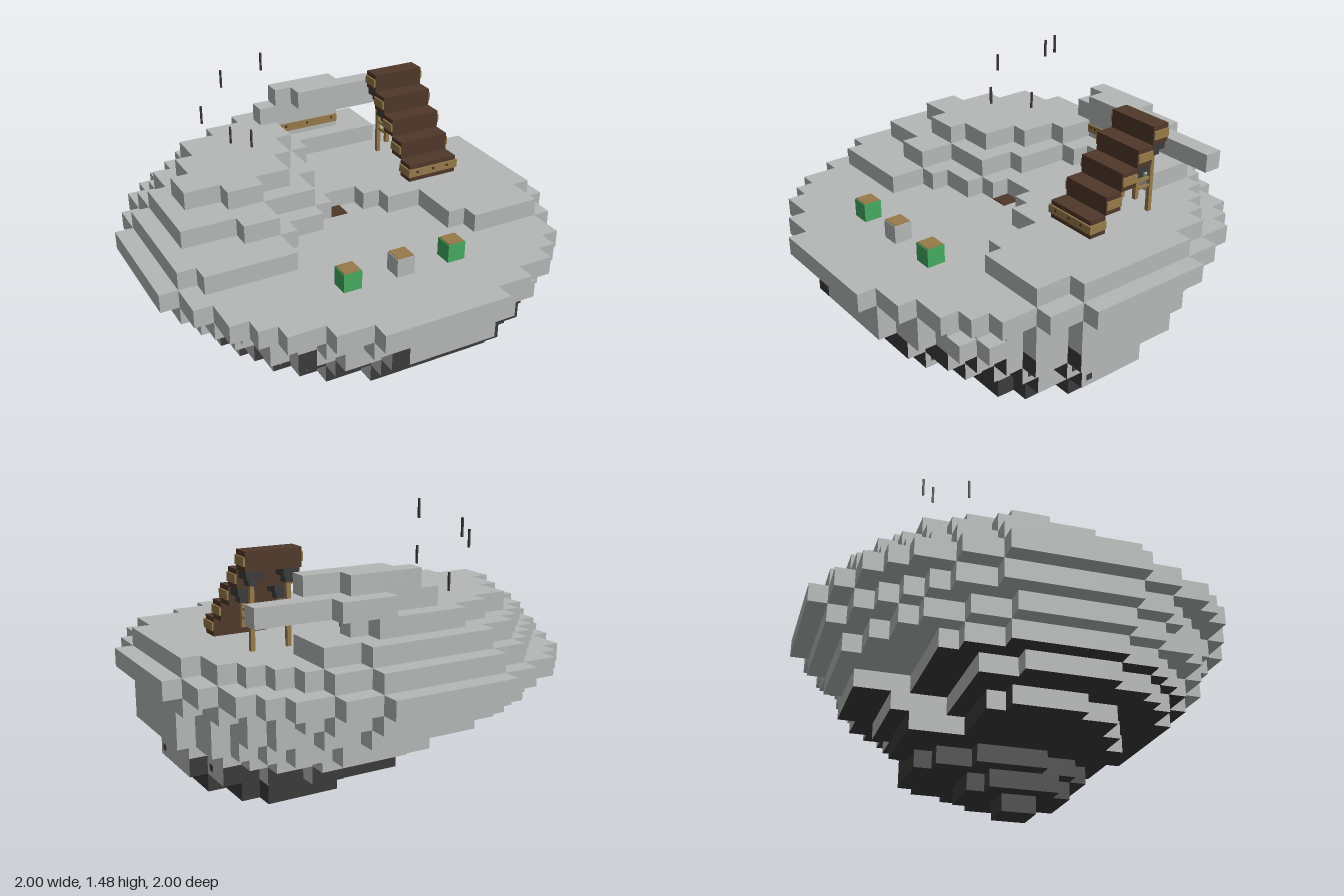
import * as THREE from 'three';

const S = 2 / 23; // edge of one block

const mat = (name, color) => {
  const m = new THREE.MeshStandardMaterial({ color });
  m.name = name;
  return m;
};

export function createModel() {
  const root = new THREE.Group();
  root.name = 'floatingIsland';
  const stone = mat('stone', 0xb5b8b7);
  const darkStone = mat('darkStone', 0x3b3b3b);
  const brown = mat('darkWood', 0x50382a);
  const tan = mat('lightWood', 0x977a4a);
  const green = mat('green', 0x45ab60);

  const box = (parent, name, m, x0, x1, y0, y1, z0, z1) => {
    const mesh = new THREE.Mesh(new THREE.BoxGeometry(x1 - x0, y1 - y0, z1 - z0), m);
    mesh.position.set((x0 + x1) / 2, (y0 + y1) / 2, (z0 + z1) / 2);
    mesh.name = name;
    parent.add(mesh);
  };
  const group = (name) => {
    const g = new THREE.Group();
    g.name = name;
    root.add(g);
    return g;
  };

  // ---- Island: one filled oval of blocks per layer (x0, x1, z0, z1 in blocks)
  const ovals = [
    [3, 4, 1, 2], [2, 6, -1, 4], [1, 8, -4, 5], [-5, 9, -5, 6], [-7, 9, -6, 8],
    [-8, 10, -8, 9], [-9, 10, -9, 10], [-10, 10, -10, 10], [-11, 11, -11, 11],
    [-10, 10, -10, 10], [-9, 9, -9, 9], [-8, 8, -8, 8],
  ];
  // Back limit of the lower layers on the -x side, where the underside is shallower
  const shallow = { 3: -2, 4: -3, 5: -5 };
  // Front limit of the raised terraces: [last column, furthest row] pairs
  const terraces = {
    9: [[-5, 4], [-4, 2], [-2, 1], [-1, 0], [1, -1], [2, 0], [4, 1], [5, 4], [11, 5]],
    10: [[-7, 1], [-5, 2], [-2, 0], [-1, -2], [0, -5], [5, -6]],
    11: [[-7, -1], [-5, 0], [-3, -1], [-2, -3], [-1, -5], [3, -7]],
  };
  const solid = new Set();
  const key = (x, y, z) => `${x},${y},${z}`;
  ovals.forEach(([x0, x1, z0, z1], y) => {
    for (let x = x0; x <= x1; x++) for (let z = z0; z <= z1; z++) {
      const u = (2 * x - x0 - x1) / (x1 - x0 + 1), v = (2 * z - z0 - z1) / (z1 - z0 + 1);
      if (u * u + v * v > 1) continue;
      if (x < 0 && z < shallow[y]) continue;
      if (terraces[y]) {
        const step = terraces[y].find(([last]) => x <= last);
        if (!step || z > step[1]) continue;
      }
      solid.add(key(x, y, z));
    }
  });
  // Overhanging ledge at the back: first column, last column, layer, row
  for (const [x0, x1, y, z] of [[-1, 8, 12, -7], [2, 4, 12, -8], [0, 3, 13, -7], [1, 5, 13, -6]]) {
    for (let x = x0; x <= x1; x++) solid.add(key(x, y, z));
  }

  // Only the exposed block faces are built: normal, then two edge directions
  const sides = [
    [[1, 0, 0], [0, 1, 0], [0, 0, 1]], [[-1, 0, 0], [0, 0, 1], [0, 1, 0]],
    [[0, 1, 0], [0, 0, 1], [1, 0, 0]], [[0, -1, 0], [1, 0, 0], [0, 0, 1]],
    [[0, 0, 1], [1, 0, 0], [0, 1, 0]], [[0, 0, -1], [0, 1, 0], [1, 0, 0]],
  ];
  const faces = { light: [], dark: [] };
  for (const k of solid) {
    const [x, y, z] = k.split(',').map(Number);
    for (const [n, a, b] of sides) {
      if (solid.has(key(x + n[0], y + n[1], z + n[2]))) continue;
      const patch = y === 6 && n[2] === 1 && (x === -6 || x === -2);
      const isDark = y <= 2 || (y === 3 && n[2] === -1) || (y <= 5 && (n[2] === 1 || n[1] === -1)) || patch;
      const c = [x, y + 0.5, z];
      const corner = (s, t) => c.map((v, i) => (v + (n[i] + s * a[i] + t * b[i]) / 2) * S);
      const [p, q, r, w] = [corner(-1, -1), corner(1, -1), corner(1, 1), corner(-1, 1)];
      faces[isDark ? 'dark' : 'light'].push(...p, ...q, ...r, ...p, ...r, ...w);
    }
  }
  const island = group('island');
  for (const [name, m, list] of [['paleRock', stone, faces.light], ['darkUnderside', darkStone, faces.dark]]) {
    const g = new THREE.BufferGeometry();
    g.setAttribute('position', new THREE.Float32BufferAttribute(list, 3));
    g.computeVertexNormals();
    const mesh = new THREE.Mesh(g, m);
    mesh.name = name;
    island.add(mesh);
  }
  // Small dark spots on the outer side: layer, row
  for (const [y, z] of [[4, 8], [4, 5], [4, 3], [4, 1], [4, -2], [4, -6], [3, 2], [3, -2]]) {
    let x = 11;
    while (x > -11 && !solid.has(key(x, y, z))) x--;
    const px = (x + 0.5) * S, py = (y + 0.5) * S;
    box(island, 'darkSpot', darkStone, px - 0.002, px + 0.002, py - 0.015, py + 0.015, z * S - 0.015, z * S + 0.015);
  }

  // ---- Three crates on the front terrace
  const floor = 9 * S;
  [[-3, green], [0, stone], [3, green]].forEach(([c, m]) => {
    const g = group('crate');
    const x = c * S, z = 7 * S, h = S / 2;
    box(g, 'crateBody', m, x - h, x + h, floor, floor + S, z - h, z + h);
    box(g, 'crateLid', tan, x - h + 0.004, x + h - 0.004, floor + S, floor + S + 0.004, z - h + 0.004, z + h - 0.004);
  });

  // Floor plate in the notch
  box(root, 'floorPlate', brown, -S / 2, S / 2, floor, floor + 0.005, -S / 2, S / 2);

  // ---- Staircase: five brown steps with a light band round each
  const stairs = group('staircase');
  for (let i = 0; i < 5; i++) {
    const y = (10 + i) * S, z = -i * S, h = S / 2;
    box(stairs, 'step', brown, 0.39, 0.652, y, y + S, z - h, z + h);
    box(stairs, 'stepBand', tan, 0.382, 0.66, y + 0.025, y + 0.065, z - h + 0.001, z + h - 0.001);
  }
  box(stairs, 'frontBand', tan, 0.382, 0.66, 10 * S + 0.025, 10 * S + 0.065, 0, S / 2 + 0.008);

  // Posts, brackets and rails below the upper steps
  for (const x of [0.435, 0.607]) {
    for (const [z, top] of [[-3 * S, 13 * S], [-4 * S, 14 * S]]) {
      box(stairs, 'bracket', darkStone, x - 0.038, x + 0.038, top - 0.035, top, z - 0.038, z + 0.038);
      box(stairs, 'bracketNeck', darkStone, x - 0.022, x + 0.022, top - 0.065, top - 0.035, z - 0.022, z + 0.022);
      const foot = z < -0.3 ? 10 * S : 11 * S;
      box(stairs, 'post', tan, x - 0.01, x + 0.01, foot, top - 0.065, z - 0.01, z + 0.01);
    }
    for (const y of [1.0, 1.037]) box(stairs, 'rail', tan, x - 0.006, x + 0.006, y - 0.006, y + 0.006, -4 * S, -3 * S);
  }

  // Plank on the back wall
  box(root, 'wallPlank', tan, -S / 2, 3.5 * S, 0.984, 1.024, -6.5 * S, -6.5 * S + 0.008);

  // Dark knots on the front band and the plank
  const knot = (x, y, z) => box(root, 'woodKnot', brown, x - 0.006, x + 0.006, y - 0.006, y + 0.006, z, z + 0.002);
  for (const x of [0.43, 0.52, 0.6]) knot(x, 10 * S + 0.05, S / 2 + 0.008);
  for (const x of [-0.02, 0.01, 0.13, 0.27]) knot(x, 1.01, -6.5 * S + 0.008);

  // ---- Thin hanging rods: x, y, z in blocks
  for (const [x, y, z] of [[-6, 14, -4], [-4, 15, -6], [-4, 12, -5], [-2, 16, -5], [-4, 13, -2]]) {
    box(root, 'rod', darkStone, x * S - 0.004, x * S + 0.004, y * S, (y + 1) * S, z * S - 0.005, z * S + 0.005);
  }
  return root;
}
